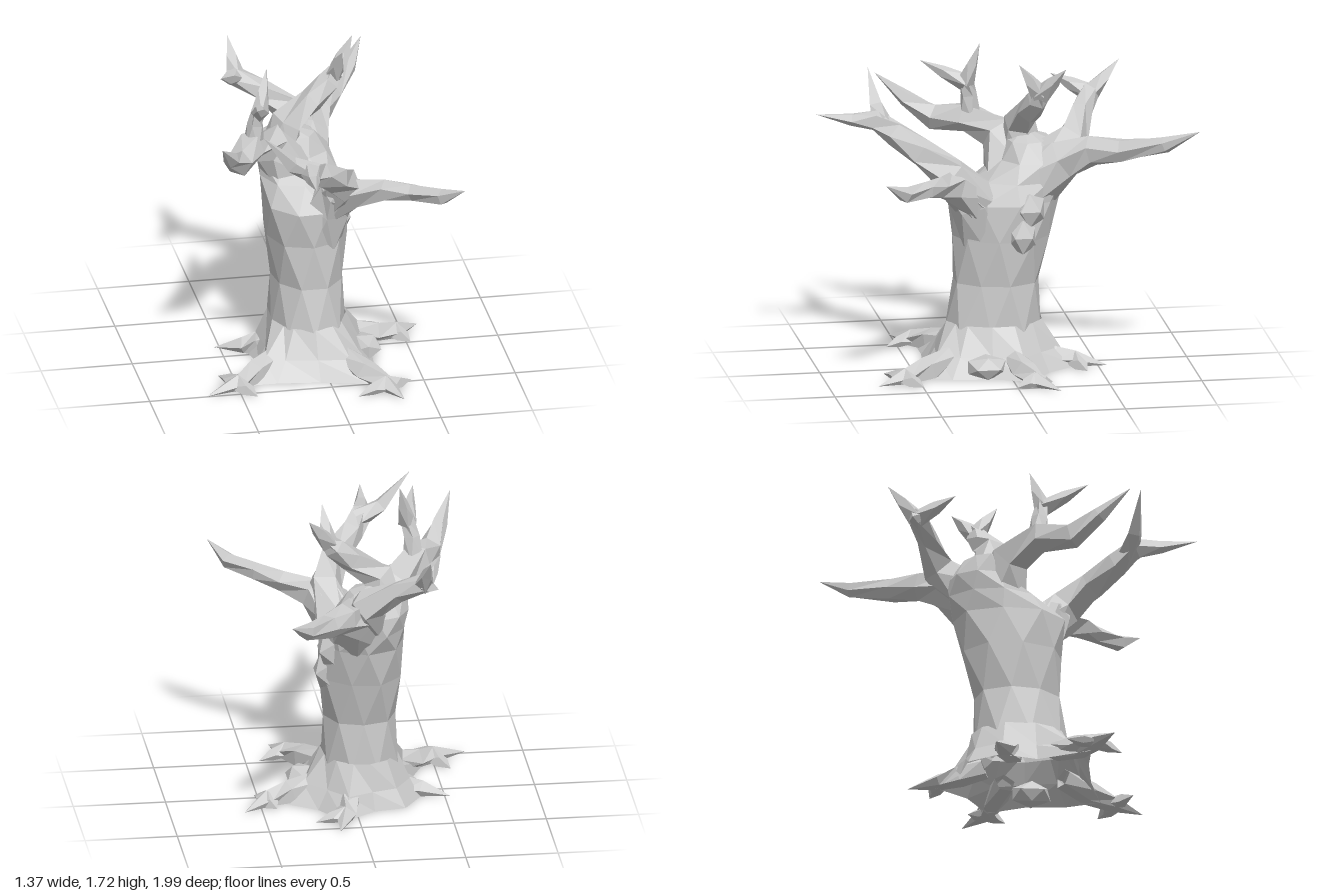
import * as THREE from 'three';

const V = (p) => new THREE.Vector3(p[0], p[1], p[2]);

export function createModel() {
  const tree = new THREE.Group();
  tree.name = 'bareTree';
  const bark = new THREE.MeshStandardMaterial({ color: 0xcccccc, flatShading: true, side: THREE.DoubleSide });

  // Skin a list of equal-sized rings with flat triangles
  function loft(name, rings) {
    const pos = [];
    const tri = (...pts) => pts.forEach((p) => pos.push(p.x, Math.max(0, p.y), p.z));
    for (let i = 0; i < rings.length - 1; i++) {
      const n = rings[i].length;
      for (let j = 0; j < n; j++) {
        const k = (j + 1) % n;
        const a = rings[i][j], b = rings[i][k], c = rings[i + 1][j], d = rings[i + 1][k];
        tri(a, b, c);
        tri(b, d, c);
      }
    }
    const g = new THREE.BufferGeometry();
    g.setAttribute('position', new THREE.Float32BufferAttribute(pos, 3));
    g.computeVertexNormals();
    const mesh = new THREE.Mesh(g, bark);
    mesh.name = name;
    tree.add(mesh);
  }

  // Tapering limb through points [x, y, z, radius]
  function limb(name, pts, sides = 5) {
    const c = pts.map(V);
    let u = null;
    const rings = c.map((p, i) => {
      const t = c[Math.min(i + 1, c.length - 1)].clone().sub(c[Math.max(i - 1, 0)]).normalize();
      if (!u) u = Math.abs(t.y) > 0.9 ? new THREE.Vector3(1, 0, 0) : new THREE.Vector3(0, 1, 0);
      u = u.clone().addScaledVector(t, -u.dot(t)).normalize();
      const v = t.clone().cross(u);
      return Array.from({ length: sides }, (_, j) => {
        const a = ((j + (i % 2) * 0.3) / sides) * Math.PI * 2;
        return p.clone()
          .addScaledVector(u, Math.cos(a) * pts[i][3])
          .addScaledVector(v, Math.sin(a) * pts[i][3]);
      });
    });
    loft(name, rings);
  }

  // Pointed twigs fanning out of one fork
  function twigs(name, from, r, tips) {
    tips.forEach((tip) => {
      const mid = from.map((f, i) => f * 0.5 + tip[i] * 0.5);
      limb(name, [[...from, r], [...mid, r * 0.65], [...tip, 0]], 4);
    });
  }

  // Trunk, with a shelf sloping back above the front fork: y, centre x, centre z, radius x, radius z
  const trunk = [
    [0.2, -0.055, 0.045, 0.215, 0.265],
    [0.47, -0.05, 0.025, 0.2, 0.235],
    [0.72, -0.055, 0, 0.23, 0.275],
    [0.92, -0.06, -0.01, 0.235, 0.31],
    [1.03, -0.08, -0.1, 0.215, 0.25],
    [1.13, -0.1, -0.17, 0.2, 0.18],
    [1.23, -0.13, -0.15, 0.16, 0.12],
    [1.28, -0.13, -0.14, 0, 0],
  ];
  const N = 9;
  loft('trunk', trunk.map(([y, cx, cz, rx, rz], i) =>
    Array.from({ length: N }, (_, j) => {
      const a = ((j + i * 0.5) / N) * Math.PI * 2;
      const k = 1 + 0.04 * Math.sin(j * 2.4 + i * 1.7);
      return new THREE.Vector3(cx + rx * k * Math.sin(a), y, cz + rz * k * Math.cos(a));
    })));

  // Flared base: ground outline x, z, drawn up and in to the foot of the trunk
  const outline = [[-0.05, 0.43], [0.2, 0.5], [0.27, 0.32], [0.29, 0.1], [0.38, -0.1], [0.2, -0.22],
    [0.08, -0.4], [-0.1, -0.28], [-0.27, -0.25], [-0.38, -0.08], [-0.33, 0.12], [-0.46, 0.4], [-0.28, 0.4]];
  loft('rootFlare', [[0, 0], [0.1, 0.5], [0.25, 1]].map(([y, f]) => outline.map(([x, z]) => {
    const a = Math.atan2(x + 0.055, z - 0.04);
    const foot = [-0.055 + 0.21 * Math.sin(a), 0.04 + 0.26 * Math.cos(a)];
    return new THREE.Vector3(x + (foot[0] - x) * f, y, z + (foot[1] - z) * f);
  })));

  // Front fork and its two boughs
  limb('frontFork', [[0, 0.7, 0.12, 0.12], [0.04, 0.93, 0.17, 0.13], [0.08, 1.05, 0.25, 0.1], [0.1, 1.12, 0.33, 0]], 6);
  limb('frontLeftBough', [[0.05, 0.93, 0.16, 0.12], [0.16, 1.05, 0.3, 0.085], [0.31, 1.09, 0.4, 0.06],
    [0.44, 1.11, 0.49, 0.048], [0.58, 1.13, 0.63, 0.045], [0.68, 1.21, 0.75, 0]]);
  limb('frontBough', [[0.06, 0.93, 0.14, 0.12], [0.1, 1.1, 0.3, 0.1], [0.03, 1.2, 0.44, 0.08],
    [-0.08, 1.29, 0.57, 0.07], [-0.15, 1.35, 0.67, 0.06], [-0.16, 1.36, 0.8, 0.035], [-0.18, 1.39, 0.99, 0]]);
  limb('frontBoughTwig', [[-0.12, 1.33, 0.63, 0.06], [-0.25, 1.4, 0.65, 0.045], [-0.41, 1.58, 0.67, 0]], 4);

  // Right bough, hooking forward, with an upright twig
  limb('rightBough', [[-0.11, 1.02, -0.06, 0.17], [-0.24, 1.23, -0.02, 0.11], [-0.38, 1.29, 0.14, 0.085],
    [-0.47, 1.27, 0.3, 0.072], [-0.54, 1.36, 0.44, 0.045], [-0.62, 1.49, 0.6, 0]]);
  limb('rightBoughTwig', [[-0.36, 1.29, 0.12, 0.06], [-0.35, 1.42, 0.13, 0.045], [-0.33, 1.52, 0.15, 0.04]]);
  twigs('rightBoughTip', [-0.33, 1.49, 0.15], 0.05, [[-0.28, 1.72, 0.08], [-0.39, 1.61, 0.39]]);

  // Middle bough, rising to a fork
  limb('middleBough', [[-0.17, 1.12, -0.13, 0.12], [-0.13, 1.31, -0.11, 0.09], [0.01, 1.41, -0.14, 0.07],
    [0.11, 1.5, -0.17, 0.062], [0.16, 1.57, -0.18, 0.04]]);
  twigs('middleBoughTip', [0.14, 1.53, -0.18], 0.055, [[0.16, 1.71, -0.06], [0.26, 1.7, -0.3]]);

  // Back bough and its side bough
  limb('backBough', [[-0.04, 0.98, -0.14, 0.17], [0.02, 1.14, -0.33, 0.12], [0.1, 1.2, -0.47, 0.085],
    [0.2, 1.22, -0.62, 0.065], [0.34, 1.28, -0.83, 0.045], [0.44, 1.37, -1, 0]], 6);
  limb('backRightBough', [[-0.06, 1.08, -0.22, 0.14], [-0.05, 1.24, -0.39, 0.095], [-0.2, 1.34, -0.46, 0.06],
    [-0.34, 1.41, -0.53, 0.055], [-0.38, 1.44, -0.54, 0]]);
  twigs('backRightTip', [-0.33, 1.4, -0.53], 0.055, [[-0.35, 1.58, -0.69], [-0.45, 1.49, -0.33], [-0.41, 1.38, -0.56]]);

  // Roots creeping out of the flare: name, tip, knee, prongs
  const roots = [
    ['frontRightRoot', [-0.69, 0.51], [-0.5, 0.42], [[-0.42, 0.57], [-0.58, 0.26]]],
    ['frontLeftRoot', [0.35, 0.74], [0.28, 0.58], [[0.43, 0.5], [0.11, 0.67]]],
    ['leftRoot', [0.6, -0.22], [0.46, -0.1], [[0.52, 0.01], [0.42, -0.2]]],
    ['backRoot', [0.12, -0.55], [0.07, -0.38], [[0.24, -0.42]]],
    ['backRightRoot', [-0.53, -0.12], [-0.38, -0.06], []],
  ];
  roots.forEach(([name, tip, knee, prongs]) => {
    const along = (f) => [-0.05 + (knee[0] + 0.05) * f, 0.05 + (knee[1] - 0.05) * f];
    const [ax, az] = along(0.45), [bx, bz] = along(0.75);
    limb(name, [[ax, 0.09, az, 0.06], [bx, 0.045, bz, 0.07], [knee[0], 0.02, knee[1], 0.06], [tip[0], 0.005, tip[1], 0]]);
    twigs(name + 'Prong', [knee[0], 0.02, knee[1]], 0.06, prongs.map((p) => [p[0], 0.01, p[1]]));
  });

  // Knots and burls: x, y, z, then half sizes
  [[0.13, 0.75, -0.08, 0.085, 0.11, 0.09], [0.11, 0.89, -0.12, 0.09, 0.11, 0.1],
    [0.25, 0.06, 0.13, 0.09, 0.07, 0.12]].forEach(([x, y, z, a, b, c]) => {
    const knot = new THREE.Mesh(new THREE.IcosahedronGeometry(1, 0), bark);
    knot.name = 'knot';
    knot.scale.set(a, b, c);
    knot.position.set(x, y, z);
    tree.add(knot);
  });
  return tree;
}
